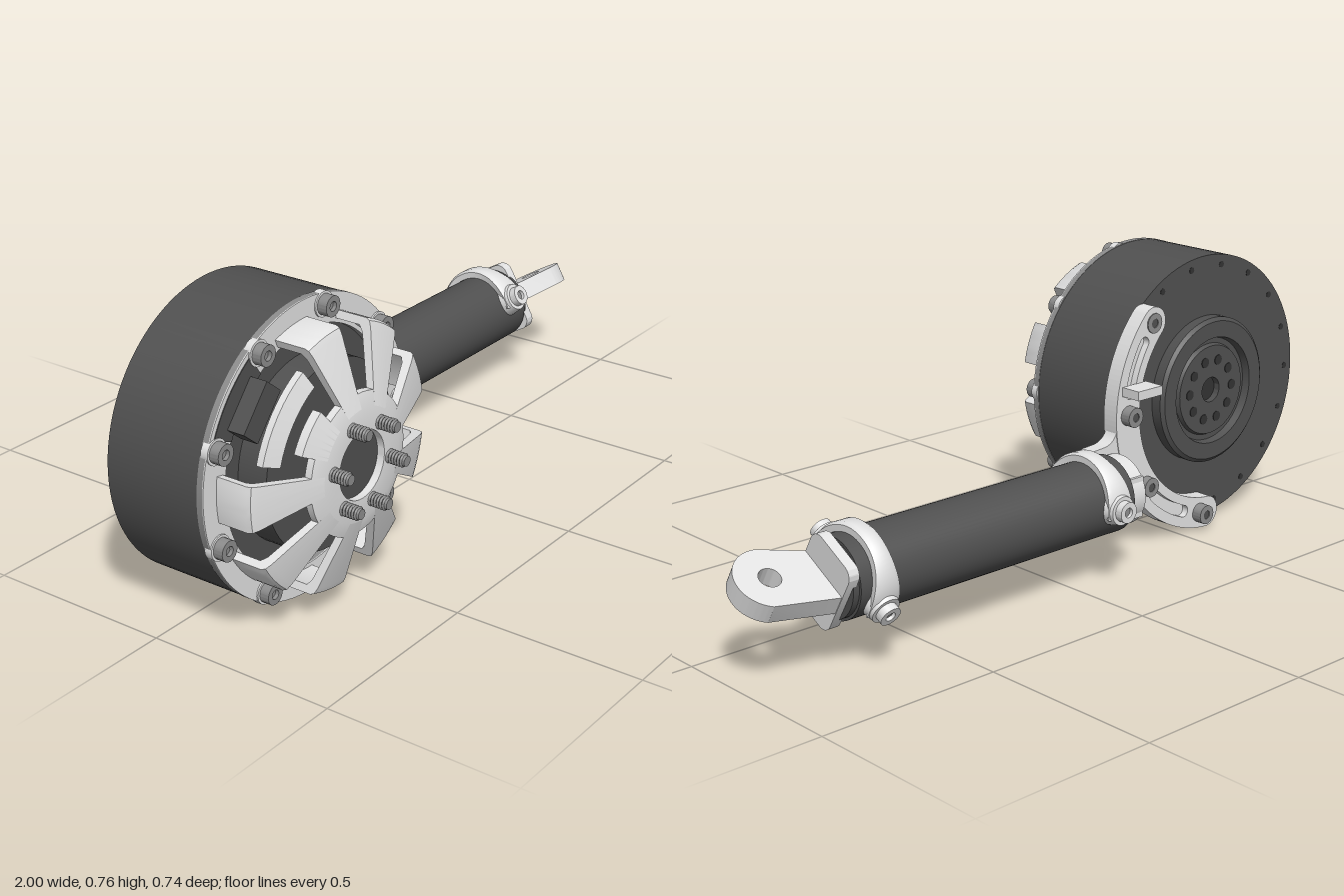
import * as THREE from 'three';
import { toCreasedNormals } from 'three/addons/utils/BufferGeometryUtils.js';

const rad = THREE.MathUtils.degToRad;
const CX = -0.628, CY = 0.389;      // motor axis
const TY = 0.219, TZ = -0.221;      // tube axis

export function createModel() {
  const root = new THREE.Group();
  const mat = (name, color, side = THREE.FrontSide) => {
    const m = new THREE.MeshStandardMaterial({ color, side });
    m.name = name;
    return m;
  };
  const light = mat('light metal', 0xe2e2e2, THREE.DoubleSide);
  const dark = mat('dark casing', 0x505050);
  const steel = mat('bolt steel', 0x8c8c8c);
  const black = mat('hole black', 0x333333);

  const add = (parent, name, geo, material, x = 0, y = 0, z = 0) => {
    const m = new THREE.Mesh(geo, material);
    m.name = name;
    m.position.set(x, y, z);
    parent.add(m);
    return m;
  };
  // Turned part about z; angles in degrees counter-clockwise from +x
  const turned = (pts, from = 0, sweep = 360, seg = 64) => toCreasedNormals(
    new THREE.LatheGeometry(pts.map(p => new THREE.Vector2(p[0], p[1])), seg, rad(from + 90), rad(sweep))
      .rotateX(Math.PI / 2), 0.5);
  const ring = (r0, r1, z0, z1, from, sweep, seg) =>
    turned([[r1, z0], [r1, z1], [r0, z1], [r0, z0], [r1, z0]], from, sweep, seg);
  const rodZ = (r, z0, z1, seg = 20, r2 = r) =>
    new THREE.CylinderGeometry(r2, r, z1 - z0, seg).rotateX(Math.PI / 2).translate(0, 0, (z0 + z1) / 2);
  const rodX = (r, x0, x1, seg = 48) =>
    new THREE.CylinderGeometry(r, r, x1 - x0, seg).rotateZ(Math.PI / 2).translate((x0 + x1) / 2, 0, 0);
  const slab = (shape, z0, z1) => new THREE.ExtrudeGeometry(shape,
    { depth: z1 - z0, bevelEnabled: false, curveSegments: 32 }).translate(0, 0, z0);
  const polar = (r, deg) => [r * Math.cos(rad(deg)), r * Math.sin(rad(deg))];

  // Motor drum and flange
  const motor = new THREE.Group();
  motor.name = 'motor';
  motor.position.set(CX, CY, 0);
  root.add(motor);
  add(motor, 'drum', rodZ(0.373, -0.12, 0.148, 96), dark);
  add(motor, 'flangeRing', ring(0.3, 0.374, 0.147, 0.163, 0, 360, 96), steel);
  add(motor, 'flangeFace', ring(0.3, 0.374, 0.163, 0.166, 0, 360, 96), light);
  add(motor, 'innerStator', rodZ(0.235, 0.148, 0.23, 64), dark);
  add(motor, 'innerHub', rodZ(0.09, 0.23, 0.3, 40), dark);

  // Front cage: hub plate and nine angled spokes
  add(motor, 'cageHub', turned([[0.175, 0.29], [0.175, 0.309], [0.14, 0.32], [0.085, 0.32],
    [0.085, 0.295], [0.14, 0.295], [0.175, 0.29]]), light);
  const spoke = (profile, from, sweep) => {
    const g = new THREE.Group();
    g.name = 'cageSpoke';
    add(g, 'spokeBody', turned([...profile, profile[0]], from, sweep, 8), light);
    const shape = new THREE.Shape(profile.map(p => new THREE.Vector2(p[0], p[1])));
    for (const a of [from, from + sweep])
      add(g, 'spokeSide', new THREE.ShapeGeometry(shape).rotateX(Math.PI / 2).rotateZ(rad(a)), light);
    motor.add(g);
  };
  const full = [[0.33, 0.16], [0.33, 0.25], [0.325, 0.26], [0.31, 0.267], [0.14, 0.32],
    [0.14, 0.3], [0.295, 0.247], [0.31, 0.235], [0.31, 0.16]];
  for (let k = 0; k < 9; k++) if (k !== 3) spoke(full, 10 + 40 * k, 20);
  // Bridge over the cable opening
  spoke([[0.305, 0.25], [0.305, 0.268], [0.26, 0.283], [0.26, 0.262]], 118, 44);
  spoke([[0.21, 0.275], [0.21, 0.298], [0.14, 0.32], [0.14, 0.3]], 125, 30);
  add(motor, 'cableOpening', ring(0.3, 0.362, 0.16, 0.168, 124, 32, 12), dark);
  const plug = add(motor, 'cableConnector', new THREE.BoxGeometry(0.06, 0.13, 0.05), dark, ...polar(0.29, 140), 0.19);
  plug.rotation.z = rad(140);

  // Flange bolts
  for (let k = 0; k < 9; k++) {
    const [x, y] = polar(0.347, 40 * k);
    add(motor, 'boltSeat', rodZ(0.032, 0.15, 0.17), light, x, y);
    add(motor, 'flangeBolt', ring(0.012, 0.026, 0.165, 0.196, 0, 360, 20), steel, x, y);
    add(motor, 'boltSocket', rodZ(0.013, 0.165, 0.186, 6), steel, x, y);
  }
  // Threaded output studs
  const thread = [[0.013, 0.315]];
  for (let i = 0; i < 6; i++) thread.push([0.018, 0.32 + i * 0.008], [0.014, 0.324 + i * 0.008]);
  thread.push([0.013, 0.37], [0, 0.37]);
  for (let k = 0; k < 6; k++)
    add(motor, 'threadedStud', turned(thread, 0, 360, 16), steel, ...polar(0.108, 50 + 60 * k));

  // Rear hub with stepped rings and holes
  add(motor, 'rearHub', turned([[0.205, -0.12], [0.035, -0.12], [0.035, -0.148], [0.125, -0.148], [0.13, -0.137],
    [0.145, -0.137], [0.15, -0.158], [0.195, -0.158], [0.205, -0.15], [0.205, -0.12]]), dark);
  for (let k = 0; k < 10; k++)
    add(motor, 'hubHole', rodZ(0.014, -0.15, -0.147, 16), black, ...polar(0.085, 36 * k));
  add(motor, 'hubBore', rodZ(0.034, -0.13, -0.119, 24), black);
  for (let k = 0; k < 18; k++)
    add(motor, 'rimHole', rodZ(0.009, -0.121, -0.119, 12), black, ...polar(0.345, 20 * k));

  // Rear arc bracket with a grooved outer layer
  const arc = (r0, r1, a0, a1, Kind = THREE.Shape) => {
    const s = new Kind(), m = (r0 + r1) / 2, h = (r1 - r0) / 2;
    s.absarc(0, 0, r1, rad(a0), rad(a1), false);
    s.absarc(...polar(m, a1), h, rad(a1), rad(a1 + 180), false);
    s.absarc(0, 0, r0, rad(a1), rad(a0), true);
    s.absarc(...polar(m, a0), h, rad(a0 + 180), rad(a0 + 360), false);
    return s;
  };
  const bracket = new THREE.Group();
  bracket.name = 'rearBracket';
  motor.add(bracket);
  add(bracket, 'arcBase', slab(arc(0.302, 0.389, -86, 43), -0.148, -0.12), light);
  const rim = arc(0.302, 0.389, -86, 43);
  rim.holes.push(arc(0.327, 0.36, -70, -45, THREE.Path), arc(0.327, 0.36, 10, 33, THREE.Path));
  add(bracket, 'arcRim', slab(rim, -0.167, -0.148), light);
  for (const [a, z] of [[-81, -0.196], [-38, -0.19], [0, -0.196], [43, -0.17]]) {
    const [x, y] = polar(0.345, a);
    add(bracket, 'bracketBolt', ring(0.012, 0.027, z, -0.16, 0, 360, 20), steel, x, y);
    add(bracket, 'bracketBoltSocket', rodZ(0.013, z + 0.002, -0.16, 6), dark, x, y);
  }
  add(root, 'cableTab', new THREE.BoxGeometry(0.09, 0.025, 0.06), light, -0.305, 0.458, -0.195);

  // Arm between bracket and tube
  const arm = new THREE.Shape();
  arm.moveTo(-0.38, 0.125);
  arm.lineTo(-0.15, 0.125);
  arm.lineTo(-0.15, 0.315);
  arm.lineTo(-0.2, 0.318);
  arm.quadraticCurveTo(-0.245, 0.325, -0.25, 0.38);
  arm.lineTo(-0.3, 0.38);
  add(root, 'armPlate', slab(arm, -0.165, -0.125), light);
  const web = new THREE.Shape([[-0.28, 0.15], [-0.15, 0.15], [-0.15, 0.305], [-0.2, 0.305], [-0.25, 0.18]]
    .map(p => new THREE.Vector2(p[0], p[1])));
  add(root, 'armWedge', slab(web, -0.055, 0.055).rotateX(-Math.PI / 2), light, 0, TY, 0);
  add(root, 'tubeSocket', rodX(0.094, -0.2, -0.14), light, 0, TY, TZ);

  // Tube
  add(root, 'tube', rodX(0.103, -0.15, 0.745, 64), dark, 0, TY, TZ);
  add(root, 'tubePlug', rodX(0.096, 0.74, 0.762), dark, 0, TY, TZ);

  // Saddle clamps, widening towards their bolts
  const clamp = (x, tilt) => {
    const g = new THREE.Group();
    g.name = 'tubeClamp';
    g.position.set(x, TY, TZ);
    g.rotation.x = rad(tilt);
    const pts = [[0.12, -0.04], [0.126, -0.025], [0.126, 0.025], [0.12, 0.04], [0.1, 0.04], [0.1, -0.04], [0.12, -0.04]];
    const geo = new THREE.LatheGeometry(pts.map(p => new THREE.Vector2(p[0], p[1])), 40, 1.5 * Math.PI - 1.75, 3.5)
      .rotateZ(-Math.PI / 2);
    const p = geo.attributes.position;
    for (let i = 0; i < p.count; i++)
      p.setX(i, p.getX(i) * (0.6 + 0.5 * Math.pow(Math.abs(p.getZ(i)) / 0.126, 3)));
    add(g, 'clampBand', toCreasedNormals(geo, 0.6), light);
    for (const s of [0, Math.PI]) {
      const side = new THREE.Group();
      side.name = 'clampBoss';
      side.rotation.y = s;
      add(side, 'boss', rodZ(0.046, 0.09, 0.13, 28, 0.038), light);
      add(side, 'clampBolt', ring(0.013, 0.028, 0.125, 0.15, 0, 360, 24), light);
      add(side, 'clampSocket', rodZ(0.014, 0.125, 0.141, 6), steel);
      g.add(side);
    }
    root.add(g);
  };
  clamp(-0.08, 0);
  clamp(0.682, -30);

  // End cap and eye
  const end = new THREE.Group();
  end.name = 'rodEnd';
  end.position.set(0, TY, TZ);
  end.rotation.x = rad(-30);
  root.add(end);
  const block = new THREE.Shape();
  [[1, 1], [-1, 1], [-1, -1], [1, -1]].forEach(([u, v], i) =>
    block.absarc(u * 0.048, v * 0.072, 0.03, i * Math.PI / 2, (i + 1) * Math.PI / 2, false));
  add(end, 'endBlock', toCreasedNormals(slab(block, 0.753, 0.783).rotateY(Math.PI / 2), 0.5), light);
  const eye = new THREE.Shape();
  eye.moveTo(0.775, -0.078);
  eye.lineTo(0.95, -0.044);
  eye.absarc(0.912, 0.035, 0.088, rad(-64), rad(100), false);
  eye.lineTo(0.775, 0.075);
  const hole = new THREE.Path();
  hole.absarc(0.912, 0.035, 0.028, 0, Math.PI * 2, true);
  eye.holes.push(hole);
  add(end, 'eyePlate', toCreasedNormals(slab(eye, -0.027, 0.027).rotateX(Math.PI / 2), 0.5), light);

  return root;
}
